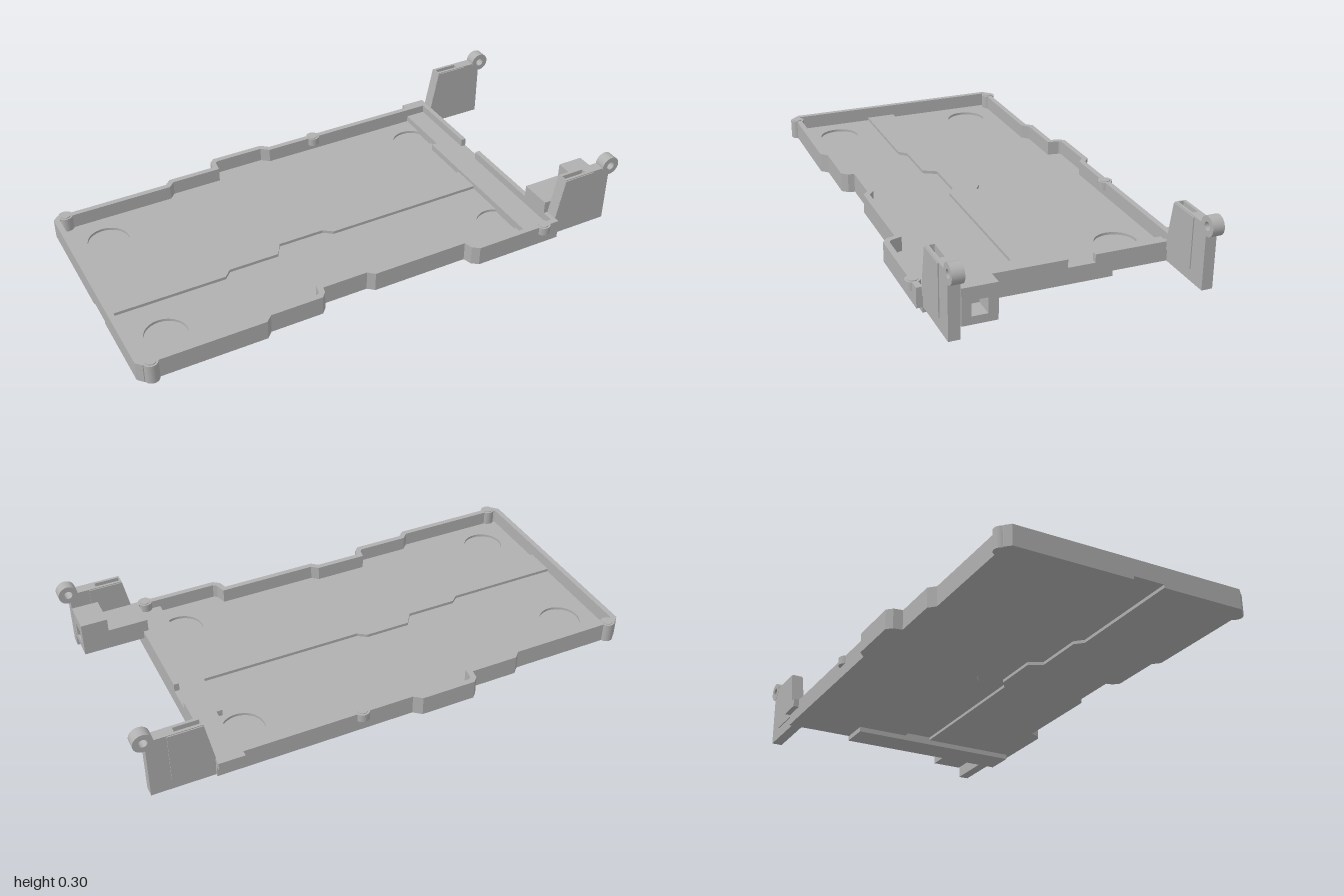
import * as THREE from 'three';

const WALL = 0.022;

export function createModel() {
  const root = new THREE.Group();
  root.name = 'batteryTray';
  const grey = new THREE.MeshStandardMaterial({ color: 0xb0b0b0 });
  grey.name = 'plastic grey';

  const add = (name, geometry, parent = root) => {
    const mesh = new THREE.Mesh(geometry, grey);
    mesh.name = name;
    parent.add(mesh);
    return mesh;
  };
  const box = (name, x0, x1, y0, y1, z0, z1, parent) => {
    const g = new THREE.BoxGeometry(x1 - x0, y1 - y0, z1 - z0);
    g.translate((x0 + x1) / 2, (y0 + y1) / 2, (z0 + z1) / 2);
    return add(name, g, parent);
  };
  const shapeOf = (pts) => new THREE.Shape(pts.map(([a, b]) => new THREE.Vector2(a, b)));
  const circle = (x, y, r) => new THREE.Path().absarc(x, y, r, 0, Math.PI * 2, true);
  const extrude = (shape, depth) =>
    new THREE.ExtrudeGeometry(shape, { depth, bevelEnabled: false, curveSegments: 24 });
  // Slab drawn in x and z, standing between two heights
  const slab = (name, pts, y0, y1, holes = []) => {
    const shape = shapeOf(pts);
    holes.forEach(([x, z]) => shape.holes.push(circle(x, z, 0.08)));
    const g = extrude(shape, y1 - y0);
    g.rotateX(Math.PI / 2);
    g.translate(0, y1, 0);
    return add(name, g);
  };

  // Stepped edges of the tray, from the left end to the open end
  const backEdge = [
    [-1, -0.42], [-0.98, -0.44], [-0.53, -0.44], [-0.505, -0.465], [-0.315, -0.465],
    [-0.31, -0.5], [-0.29, -0.52], [-0.075, -0.52], [-0.045, -0.495], [0.72, -0.495],
  ];
  const frontEdge = [
    [-1, 0.47], [-0.98, 0.492], [-0.52, 0.492], [-0.495, 0.467], [-0.29, 0.467],
    [-0.27, 0.445], [-0.265, 0.42], [-0.085, 0.42], [-0.06, 0.442], [0.325, 0.442],
    [0.335, 0.475], [0.36, 0.495], [0.72, 0.495],
  ];
  // Edges of the raised channel in the floor
  const channelBack = [
    [-1, 0.03], [-0.53, 0.03], [-0.5, 0.005], [-0.3, 0.005],
    [-0.265, -0.045], [-0.085, -0.045], [-0.05, -0.02], [0.71, -0.02],
  ];
  const channelFront = [
    [-1, 0.15], [-0.53, 0.15], [-0.5, 0.12], [-0.3, 0.12],
    [-0.27, 0.068], [-0.085, 0.068], [-0.05, 0.095], [0.71, 0.095],
  ];
  const between = (a, b) => [...a, ...[...b].reverse()];

  // Floor halves with shallow round recesses, and the channel one step higher
  const halves = [
    ['backFloor', between(backEdge, channelBack), [[-0.835, -0.275], [0.555, -0.325]]],
    ['frontFloor', between(channelFront, frontEdge), [[-0.835, 0.325], [0.555, 0.325]]],
  ];
  for (const [name, pts, holes] of halves) {
    slab(name + 'Base', pts, 0.02, 0.03);
    slab(name + 'Top', pts, 0.03, 0.04, holes);
  }
  slab('floorChannel', between(channelBack, channelFront), 0.032, 0.052);

  // Rim wall: the outline and its mitred inward offset
  const outer = between(frontEdge, []).reverse().concat(backEdge);
  const normal = (p, q) => {
    const dx = q[0] - p[0], dz = q[1] - p[1], l = Math.hypot(dx, dz);
    return [-dz / l, dx / l];
  };
  const inner = outer.map((p, i) => {
    const n = normal(outer[Math.max(i - 1, 0)], outer[Math.max(i, 1)]);
    const last = outer.length - 1;
    const m = normal(outer[Math.min(i, last - 1)], outer[Math.min(i + 1, last)]);
    const k = WALL / (1 + n[0] * m[0] + n[1] * m[1]);
    return [p[0] + (n[0] + m[0]) * k, p[1] + (n[1] + m[1]) * k];
  });
  slab('rimWall', between(outer, inner), 0.034, 0.097);

  // Screw bosses on the rim
  for (const [x, z, y0] of [
    [-0.95, -0.43, 0.02], [-0.95, 0.485, 0.02], [0.155, -0.483, 0.065], [0.655, 0.485, 0.065],
  ]) {
    const boss = new THREE.CylinderGeometry(0.028, 0.028, 0.097 - y0, 24);
    boss.translate(x, (0.097 + y0) / 2, z);
    add('rimBoss', boss);
    const pin = new THREE.CylinderGeometry(0.02, 0.02, 0.02, 24);
    pin.translate(x, 0.09, z);
    add('bossPin', pin);
  }

  // Cross bar at the open end, with a lip notched in the middle
  box('crossBar', 0.597, 0.72, 0, 0.065, -0.228, 0.474);
  box('crossBarEnd', 0.62, 0.72, 0.021, 0.065, -0.474, -0.228);
  box('barLipBack', 0.7, 0.72, 0.065, 0.097, -0.474, -0.16);
  box('barLipFront', 0.7, 0.72, 0.065, 0.097, -0.055, 0.474);
  box('sideTab', 0.62, 0.72, 0.065, 0.097, -0.517, -0.494);

  // Hinge brackets: layered plate with a slot on top and a pierced knuckle
  const plate = [
    [0.715, 0.02], [0.957, 0.02], [0.957, 0.238], [0.933, 0.263], [0.75, 0.263], [0.715, 0.085],
  ];
  const slotted = [
    ...plate.slice(0, 4), [0.85, 0.263], [0.85, 0.235], [0.755, 0.235], [0.755, 0.263], ...plate.slice(4),
  ];
  const pad = [[0.705, 0.065], [0.88, 0.065], [0.88, 0.26], [0.75, 0.26], [0.715, 0.085]];
  for (const [name, z] of [['frontBracket', 0.45], ['backBracket', -0.463]]) {
    const bracket = new THREE.Group();
    bracket.name = name;
    root.add(bracket);
    const layer = (part, shape, z0, z1) => {
      const g = extrude(shape, z1 - z0);
      g.translate(0, 0, z + z0);
      add(part, g, bracket);
    };
    layer('slottedCore', shapeOf(slotted), -0.01, 0.01);
    for (const s of [-1, 1]) {
      layer('sidePlate', shapeOf(plate), s > 0 ? 0.01 : -0.021, s > 0 ? 0.021 : -0.01);
      layer('sidePad', shapeOf(pad), s > 0 ? 0.021 : -0.025, s > 0 ? 0.025 : -0.021);
    }
    const ring = new THREE.Shape().absarc(0.962, 0.263, 0.037, 0, Math.PI * 2, false);
    ring.holes.push(circle(0.962, 0.263, 0.016));
    layer('hingeKnuckle', ring, -0.022, 0.022);
  }

  // Connector block beside the front bracket, with a square socket facing the end
  box('connectorStep', 0.7, 0.855, 0.065, 0.147, 0.3, 0.426);
  box('connectorBack', 0.855, 0.88, 0.065, 0.2, 0.3, 0.426);
  const face = shapeOf([[-0.426, 0.065], [-0.3, 0.065], [-0.3, 0.2], [-0.426, 0.2]]);
  face.holes.push(new THREE.Path(
    [[-0.392, 0.095], [-0.392, 0.152], [-0.335, 0.152], [-0.335, 0.095]].map(([a, b]) => new THREE.Vector2(a, b))));
  const socket = extrude(face, 0.077);
  socket.rotateY(Math.PI / 2);
  socket.translate(0.88, 0, 0);
  add('connectorSocket', socket);

  return root;
}
